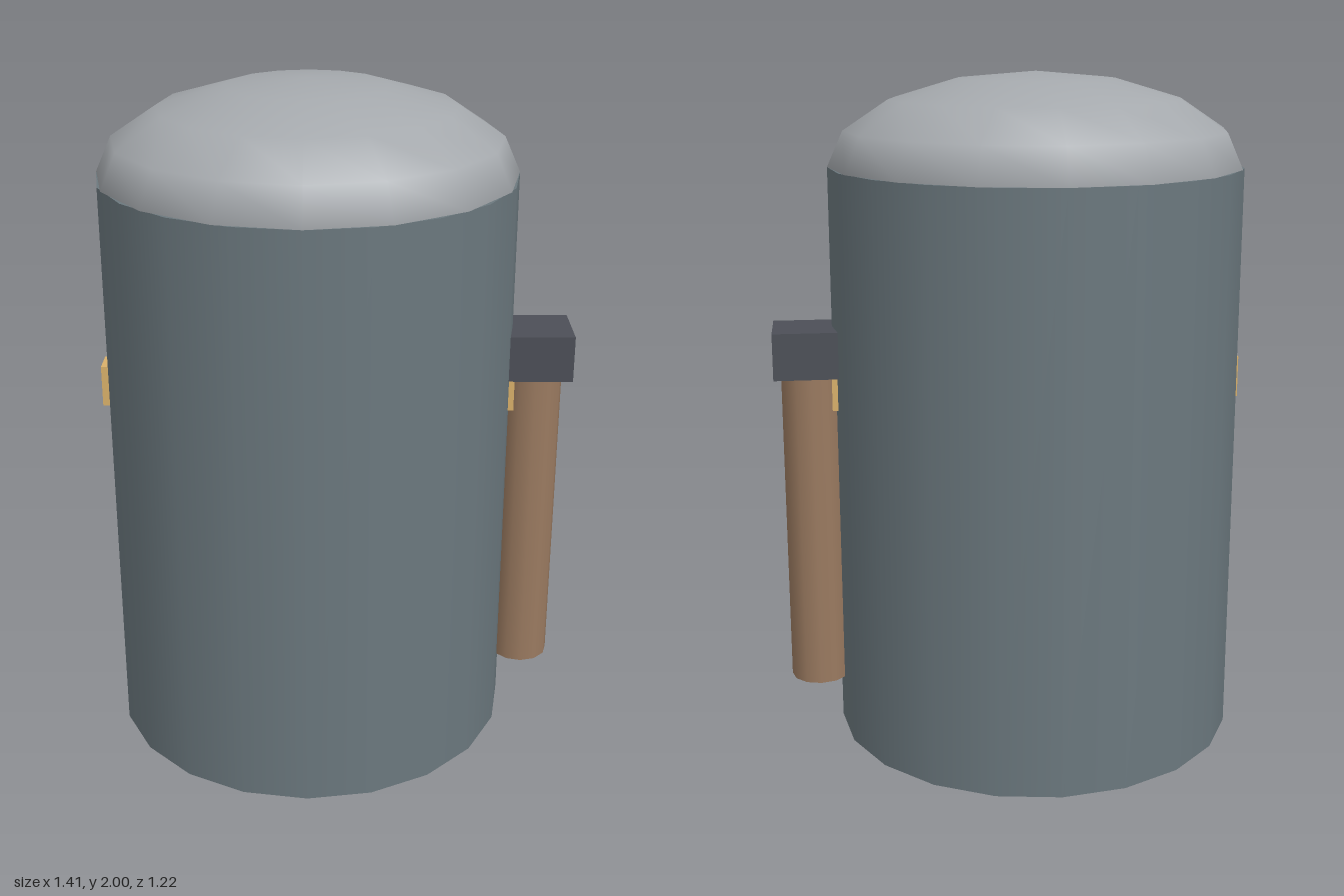
import * as THREE from 'three';

export function createModel() {
  const model = new THREE.Group();
  const add = (name, geometry, color, x, y, z = 0) => {
    const material = new THREE.MeshStandardMaterial({ color });
    const mesh = new THREE.Mesh(geometry, material);
    mesh.name = name;
    mesh.position.set(x, y, z);
    model.add(mesh);
    return mesh;
  };

  const bodyX = -0.08, radius = 0.61, bodyHeight = 1.73, domeHeight = 0.27;

  // Cylindrical body standing on the ground
  add('body', new THREE.CylinderGeometry(radius, radius, bodyHeight, 20), 0x6b787e, bodyX, bodyHeight / 2);

  // Flattened hemisphere on top
  const dome = new THREE.SphereGeometry(radius, 16, 4, 0, Math.PI * 2, 0, Math.PI / 2);
  dome.scale(1, domeHeight / radius, 1);
  add('dome', dome, 0xa5a9ad, bodyX, bodyHeight);

  // Side handle with its square cap
  add('handle', new THREE.CylinderGeometry(0.09, 0.09, 0.97, 12), 0x9a7a60, 0.595, 0.635);
  add('handleCap', new THREE.BoxGeometry(0.2, 0.14, 0.2), 0x4c4f57, 0.605, 1.19);

  // Small brass plates: one on the far side, one behind the handle
  add('sidePlate', new THREE.BoxGeometry(0.06, 0.125, 0.09), 0xd9b06a, -0.675, 1.08);
  add('handlePlate', new THREE.BoxGeometry(0.06, 0.125, 0.15), 0xd9b06a, 0.505, 1.08);

  return model;
}
